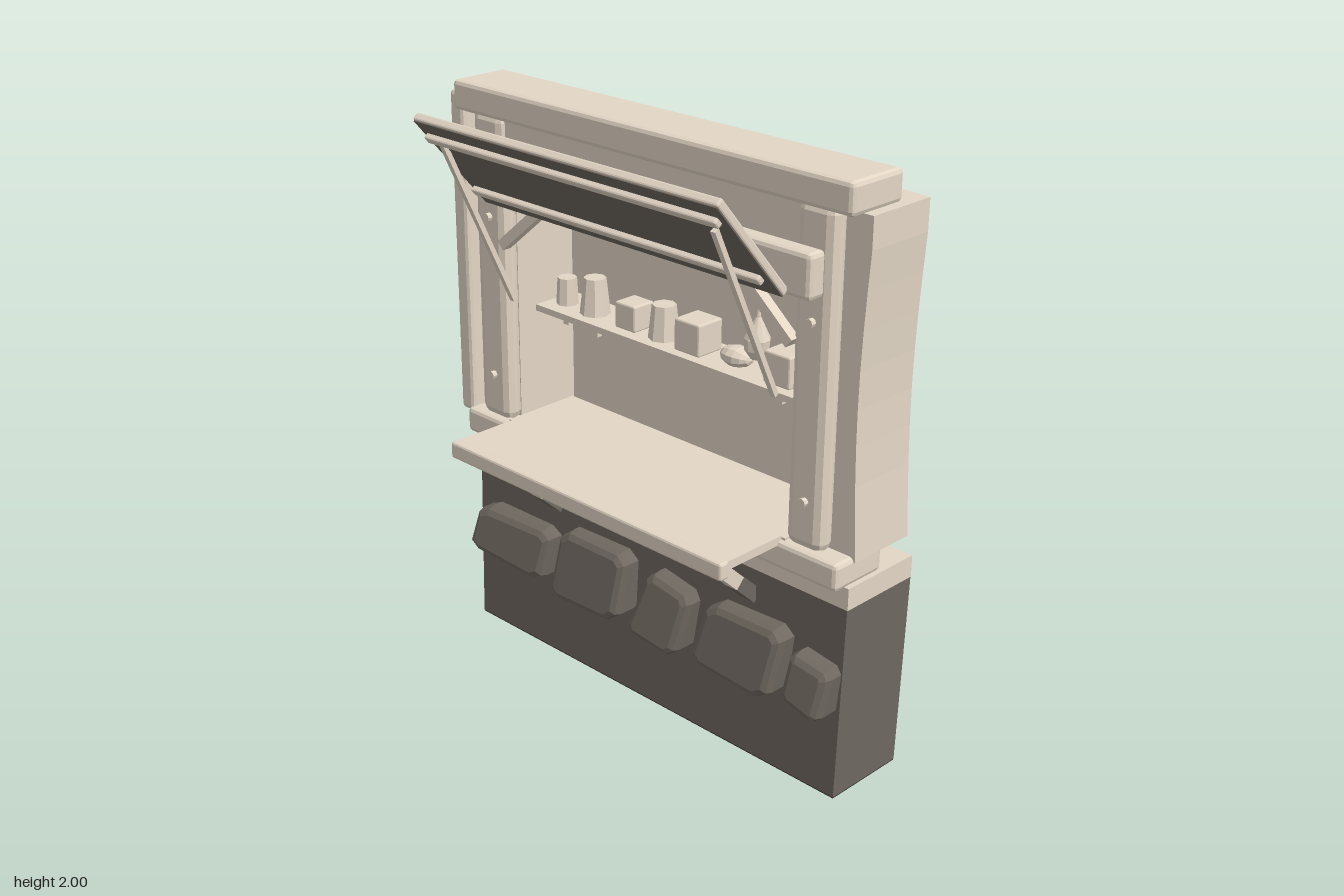
import * as THREE from 'three';
import { RoundedBoxGeometry } from 'three/addons/geometries/RoundedBoxGeometry.js';

export function createModel() {
  const root = new THREE.Group();
  root.name = 'marketStall';
  const paint = (name, color) => {
    const m = new THREE.MeshStandardMaterial({ color });
    m.name = name;
    return m;
  };
  const plaster = paint('plaster beige', 0xe3d6c5);
  const stone = paint('dark stone', 0x6f6860);
  const shade = paint('charcoal', 0x383533);

  // Faceted normals
  const flat = (g) => {
    const f = g.index ? g.toNonIndexed() : g;
    f.computeVertexNormals();
    return f;
  };
  const add = (name, geo, mat = plaster, parent = root) => {
    const m = new THREE.Mesh(flat(geo), mat);
    m.name = name;
    parent.add(m);
    return m;
  };
  // Box from its limits, chamfered when r > 0
  const block = (name, x0, x1, y0, y1, z0, z1, r = 0, mat = plaster, parent = root) => {
    const s = [x1 - x0, y1 - y0, z1 - z0];
    const g = r ? new RoundedBoxGeometry(...s, 1, r) : new THREE.BoxGeometry(...s);
    g.translate((x0 + x1) / 2, (y0 + y1) / 2, (z0 + z1) / 2);
    return add(name, g, mat, parent);
  };
  // Straight bar between two points
  const bar = (name, a, b, w, h, mat = plaster) => {
    const p = new THREE.Vector3(...a), q = new THREE.Vector3(...b);
    const m = add(name, new THREE.BoxGeometry(w, h, p.distanceTo(q)), mat);
    m.position.copy(p).lerp(q, 0.5);
    m.lookAt(q);
    return m;
  };
  // Move vertices by a rule
  const warp = (g, fn) => {
    const p = g.attributes.position, v = new THREE.Vector3();
    for (let i = 0; i < p.count; i++) {
      fn(v.fromBufferAttribute(p, i));
      p.setXYZ(i, v.x, v.y, v.z);
    }
    return g;
  };

  // Stone base, slightly leaning, with a charcoal underside and a plaster cap
  const base = new THREE.BoxGeometry(1.665, 0.672, 0.305);
  base.translate(0.025, 0.34, -0.193);
  add('stoneBase', warp(base, (v) => { v.x += v.y < 0.1 ? -0.013 : 0.004; }), stone);
  block('baseUnderside', -0.82, 0.844, 0, 0.004, -0.345, -0.041, 0, shade);
  block('baseCap', -0.803, 0.863, 0.676, 0.75, -0.345, -0.04);

  // Decorative stones: outline corners, counter-clockwise
  const stones = [
    [[-0.775, 0.325], [-0.41, 0.305], [-0.385, 0.495], [-0.745, 0.49]],
    [[-0.36, 0.285], [-0.025, 0.305], [-0.012, 0.545], [-0.34, 0.535]],
    [[0.018, 0.305], [0.235, 0.278], [0.273, 0.505], [0.085, 0.538]],
    [[0.302, 0.305], [0.64, 0.297], [0.668, 0.54], [0.345, 0.525]],
    [[0.685, 0.335], [0.835, 0.297], [0.855, 0.475], [0.698, 0.498]],
  ];
  stones.forEach((c, i) => {
    const pts = [];
    const cx = c.reduce((s, p) => s + p[0], 0) / 4, cy = c.reduce((s, p) => s + p[1], 0) / 4;
    c.forEach((p, k) => {
      const prev = c[(k + 3) % 4], next = c[(k + 1) % 4];
      [prev, next].forEach((n) => pts.push(new THREE.Vector2(
        p[0] + (n[0] - p[0]) * 0.13, p[1] + (n[1] - p[1]) * 0.13)));
    });
    const inset = 0.025;
    const g = new THREE.ExtrudeGeometry(new THREE.Shape(pts), {
      depth: 0.06, bevelEnabled: true, bevelSegments: 2, bevelSize: inset, bevelThickness: 0.035, bevelOffset: -inset,
    });
    g.translate(0, 0, -0.05);
    warp(g, (v) => { if (v.z > 0) v.z += (cy - v.y) * 0.2 + (v.x - cx) * (i % 2 ? 0.04 : -0.04); });
    add('facingStone' + (i + 1), g, stone);
  });

  // Upper wall: two jambs pinched at mid height, and a lintel bowed to the back
  const jamb = (name, x0, x1, outer) => {
    const g = new THREE.BoxGeometry(x1 - x0, 1.06 - 0.1, 0.25, 1, 8, 1);
    g.translate((x0 + x1) / 2, 1.31, -0.185);
    add(name, warp(g, (v) => {
      if (Math.abs(v.x - outer) < 0.001) v.x -= Math.sign(outer) * 0.02 * Math.sin(Math.PI * (v.y - 0.83) / 0.96);
    }));
    block(name + 'Top', Math.min(x0, x1), Math.max(x0, x1), 1.79, 1.89, -0.309, -0.061);
  };
  jamb('leftJamb', 0.645, 0.865, 0.865);
  jamb('rightJamb', -0.82, -0.605, -0.82);
  const lintel = new THREE.BoxGeometry(1.685, 0.1, 0.25, 16, 1, 1);
  lintel.translate(0.0225, 1.84, -0.185);
  add('wallLintel', warp(lintel, (v) => {
    if (v.z < -0.2) v.z -= 0.036 * Math.max(0, Math.sin(Math.PI * (v.x + 0.6) / 1.465));
  }));
  block('frontHeader', -0.61, 0.65, 1.645, 1.9, -0.06, -0.02);
  block('backPanel', -0.592, 0.645, 0.83, 1.665, -0.308, -0.295);
  block('floorBoard', -0.6, 0.645, 0.825, 0.853, -0.3, 0);

  // Timber frame
  block('topBeam', -0.8, 0.862, 1.9, 2, -0.19, 0.03, 0.015);
  block('sillBeam', -0.8, 0.86, 0.755, 0.845, -0.195, 0.02, 0.015);
  block('sidePost', -0.868, -0.8, 0.815, 1.95, -0.13, -0.01, 0.015);
  block('hatchBeam', -0.685, 0.75, 1.64, 1.78, -0.01, 0.06, 0.015);
  [[-0.745, -0.6, -0.67], [0.64, 0.78, 0.715]].forEach(([x0, x1, bx]) => {
    block('framePost', x0, x1, 0.84, 1.91, -0.07, 0, 0.03);
    [1.0, 1.56].forEach((y) => {
      const bolt = new THREE.CylinderGeometry(0.014, 0.014, 0.03, 8);
      bolt.rotateX(Math.PI / 2);
      add('bolt', bolt).position.set(bx, y, 0.002);
    });
  });
  bar('cornerBrace', [-0.6, 1.48, 0], [-0.39, 1.655, 0], 0.035, 0.035);
  bar('cornerBrace', [0.645, 1.48, 0], [0.435, 1.655, 0], 0.035, 0.035);

  // Raised hatch with a dark underside, battens and stays
  const hatch = new THREE.Group();
  hatch.name = 'hatch';
  hatch.position.set(0.033, 1.812, 0.2);
  hatch.rotation.x = Math.atan2(0.28, 0.32);
  root.add(hatch);
  block('hatchBoard', -0.635, 0.635, -0.215, 0.215, -0.013, 0.015, 0.006, plaster, hatch);
  block('hatchUnderside', -0.632, 0.632, -0.212, 0.208, 0.012, 0.018, 0, stone, hatch);
  [-0.13, 0.14].forEach((y) => block('hatchBatten', -0.615, 0.605, y - 0.015, y + 0.015, 0.012, 0.037, 0.006, plaster, hatch));
  bar('hatchStay', [-0.54, 1.89, 0.29], [-0.56, 1.3, 0], 0.018, 0.018);
  bar('hatchStay', [0.603, 1.87, 0.29], [0.585, 1.3, 0], 0.018, 0.018);

  // Serving counter with a front lip and struts with dark feet
  block('counterTop', -0.58, 0.632, 0.83, 0.858, 0, 0.25);
  block('counterLip', -0.585, 0.636, 0.803, 0.861, 0.235, 0.272, 0.008);
  [-0.413, 0.475].forEach((x) => {
    bar('counterStrut', [x, 0.825, 0.215], [x, 0.654, 0.03], 0.05, 0.045);
    bar('counterStrutFoot', [x, 0.654, 0.03], [x, 0.58, -0.05], 0.056, 0.047, stone);
  });

  // Inner shelf and brackets
  block('shelf', -0.58, 0.61, 1.225, 1.247, -0.305, -0.115);
  [-0.46, 0.485].forEach((x) => {
    block('shelfBracket', x - 0.012, x + 0.012, 1.12, 1.225, -0.3, -0.275);
    block('shelfBracketArm', x - 0.012, x + 0.012, 1.2, 1.225, -0.3, -0.14);
  });

  // Cups: x, top radius, bottom radius, height
  [[-0.515, 0.033, 0.038, 0.093], [-0.38, 0.038, 0.052, 0.125], [-0.06, 0.04, 0.052, 0.115]].forEach(([x, a, b, h]) => {
    add('cup', new THREE.CylinderGeometry(a, b, h, 8)).position.set(x, 1.247 + h / 2, -0.2);
  });
  // Boxes: x, size
  [[-0.195, 0.09], [0.09, 0.108], [0.463, 0.105]].forEach(([x, s]) => {
    block('goodsBox', x - s / 2, x + s / 2, 1.247, 1.247 + s, -0.2 - s / 2, -0.2 + s / 2, 0.006);
  });

  // Loose bulb and hanging bulb with a long stem
  const loose = new THREE.SphereGeometry(1, 10, 7);
  loose.rotateZ(Math.PI / 2);
  loose.scale(0.06, 0.034, 0.045);
  add('looseBulb', loose).position.set(0.275, 1.284, -0.18);
  const profile = [[0, 0], [0.018, 0.008], [0.04, 0.04], [0.042, 0.075], [0.025, 0.11], [0.008, 0.145], [0.003, 0.2], [0, 0.28]];
  const bulb = add('hangingBulb', new THREE.LatheGeometry(profile.map((p) => new THREE.Vector2(...p)), 10));
  bulb.position.set(0.352, 1.29, -0.18);
  bulb.rotation.z = -0.04;

  return root;
}
